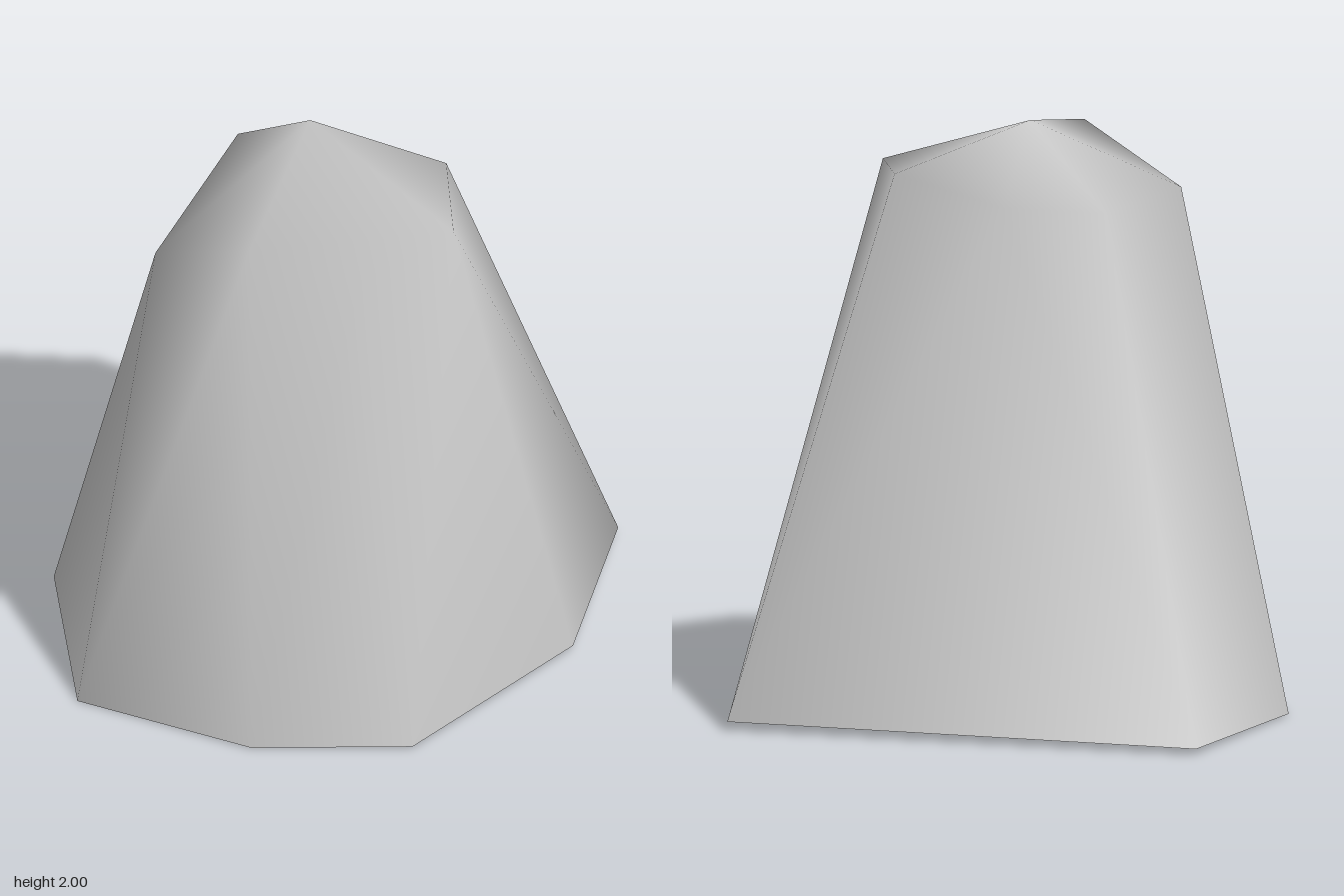
import * as THREE from 'three';
import { ConvexGeometry } from 'three/addons/geometries/ConvexGeometry.js';
import { mergeVertices } from 'three/addons/utils/BufferGeometryUtils.js';

// Corners of the open foot
const foot = [
  [-0.44, 0.02, -0.99], [0.98, 0.03, -0.14], [0.70, 0.025, 0.51], [0.06, 0.015, 0.98],
  [-0.47, 0.005, 0.87], [-0.99, 0, 0.48], [-0.93, 0.005, -0.25],
];

// Corners of the shoulder, then the peak
const crown = [
  [-0.70, 1.71, 0.36], [-0.44, 1.90, 0.68], [-0.08, 1.79, 0.77], [0.28, 1.81, 0.57],
  [0.33, 1.82, 0.18], [0.03, 1.745, -0.145], [-0.30, 1.73, -0.25],
  [-0.12, 2.0, 0.10],
];

// Convex skin around the corners, left open underneath, with smooth normals
function openHull(points) {
  const hull = new ConvexGeometry(points.map((p) => new THREE.Vector3(...p)));
  const pos = hull.getAttribute('position');
  const kept = [];
  for (let i = 0; i < pos.count; i += 3) {
    const top = Math.max(pos.getY(i), pos.getY(i + 1), pos.getY(i + 2));
    if (top < 0.1) continue;
    for (let j = i; j < i + 3; j++) kept.push(pos.getX(j), pos.getY(j), pos.getZ(j));
  }
  const open = new THREE.BufferGeometry();
  open.setAttribute('position', new THREE.Float32BufferAttribute(kept, 3));
  const smooth = mergeVertices(open);
  smooth.computeVertexNormals();
  return smooth;
}

export function createModel() {
  const group = new THREE.Group();
  group.name = 'rock';
  const stone = new THREE.MeshStandardMaterial({ color: 0xcccccc, side: THREE.DoubleSide });
  stone.name = 'light grey stone';

  const body = new THREE.Mesh(openHull([...foot, ...crown]), stone);
  body.name = 'rockBody';
  group.add(body);
  return group;
}
